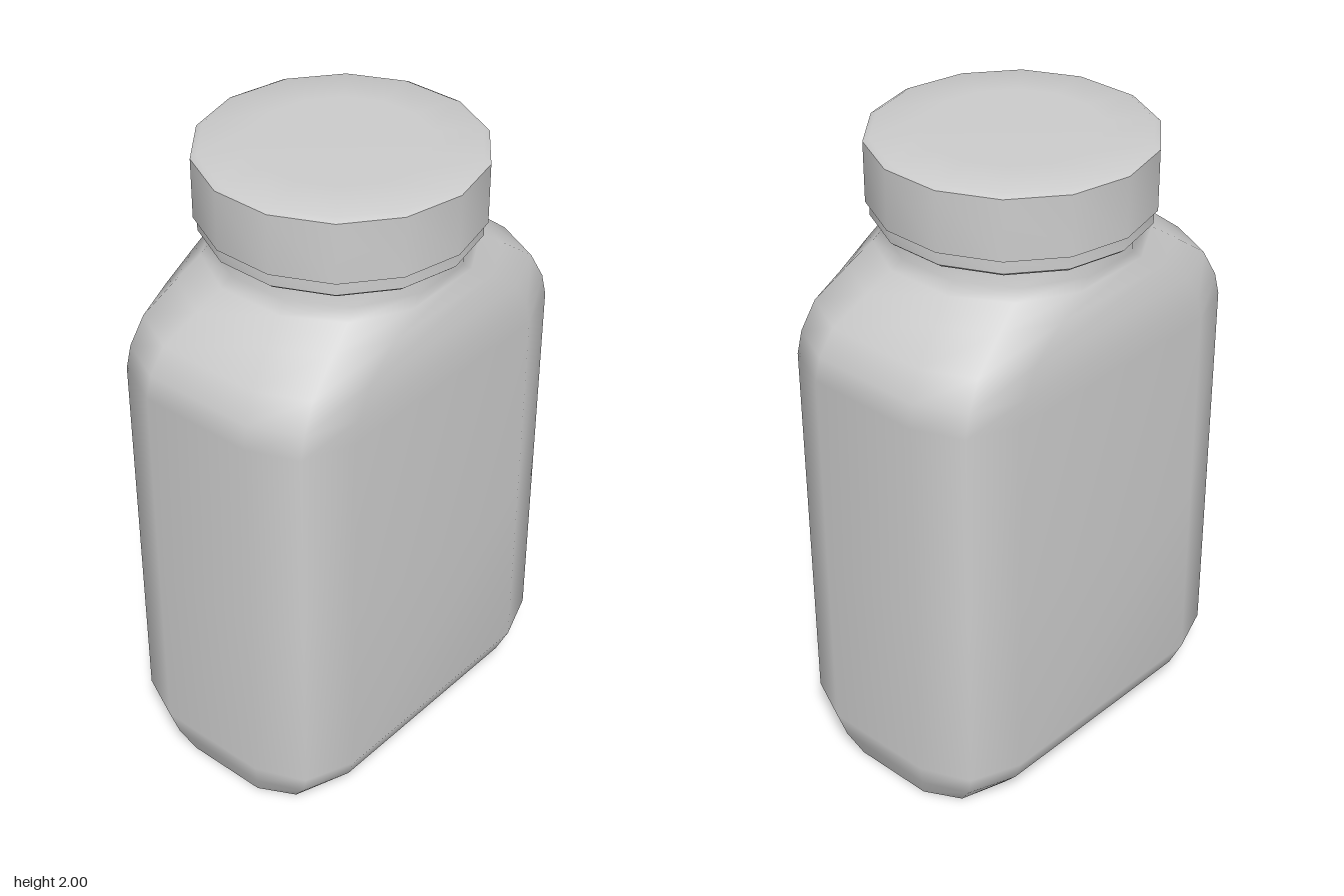
import * as THREE from 'three';
import { toCreasedNormals } from 'three/addons/utils/BufferGeometryUtils.js';

// Half of the body outline [x, z]; the other half is the same turned by 180 degrees
const HALF = [[0.37, 0.4], [0.53, 0.345], [0.6, 0.2], [0.605, -0.16], [0.545, -0.31], [0.395, -0.375]];
const OUTLINE = [...HALF, ...HALF.map(([x, z]) => [-x, -z])];
const N = OUTLINE.length;
const NECK_RADIUS = 0.365;

// Levels: [height, x scale, z scale, blend from body outline to round neck]
const LEVELS = [
  [0, 0.91, 0.73, 0],
  [0.08, 0.965, 0.91, 0],
  [0.16, 1, 1, 0],
  [0.75, 1, 1, 0],
  [1.38, 1, 1, 0],
  [1.45, 0.995, 1, 0.05],
  [1.535, 1, 1, 0.22],
  [1.615, 1, 1, 0.6],
  [1.67, 1, 1, 0.88],
  [1.7, 1, 1, 1],
  [1.8, 0.99, 1, 1],
];

function ring([y, sx, sz, t]) {
  return OUTLINE.map(([x, z], i) => {
    const a = ((i + 0.5) / N) * Math.PI * 2;
    return [
      THREE.MathUtils.lerp(x * sx, Math.sin(a) * NECK_RADIUS * sx, t),
      y,
      THREE.MathUtils.lerp(z * sz, Math.cos(a) * NECK_RADIUS * sz, t),
    ];
  });
}

function bufferFrom(points, index) {
  const g = new THREE.BufferGeometry();
  g.setAttribute('position', new THREE.Float32BufferAttribute(points.flat(), 3));
  g.setIndex(index);
  g.computeVertexNormals();
  return g;
}

// Smooth wall lofted through the levels
function wallGeometry() {
  const index = [];
  for (let j = 0; j < LEVELS.length - 1; j++) {
    for (let i = 0; i < N; i++) {
      const a = j * N + i, b = j * N + ((i + 1) % N);
      index.push(a, b, b + N, a, b + N, a + N);
    }
  }
  return bufferFrom(LEVELS.flatMap(ring), index);
}

// Flat base closing the lowest level
function baseGeometry() {
  const index = [];
  for (let i = 0; i < N; i++) index.push(N, (i + 1) % N, i);
  return bufferFrom([...ring(LEVELS[0]), [0, 0, 0]], index);
}

// Fourteen-sided turned part, smooth around and sharp at its rims
function turned(profile) {
  const pts = profile.map(([r, y]) => new THREE.Vector2(r, y));
  return toCreasedNormals(new THREE.LatheGeometry(pts, 14, -0.02), 0.6);
}

export function createModel() {
  const group = new THREE.Group();
  const material = new THREE.MeshStandardMaterial({ color: 0xcccccc });
  const add = (name, geometry) => {
    const mesh = new THREE.Mesh(geometry, material);
    mesh.name = name;
    group.add(mesh);
  };

  add('bottleBody', wallGeometry());
  add('bottleBase', baseGeometry());
  // Sealing band under the cap
  add('sealBand', turned([[0.34, 1.752], [0.39, 1.752], [0.402, 1.762], [0.402, 1.805]]));
  // Screw cap with a narrow bevel around the top
  add('cap', turned([[0.36, 1.803], [0.413, 1.803], [0.413, 1.985], [0.395, 1.995], [0.25, 2], [0, 2]]));
  return group;
}
